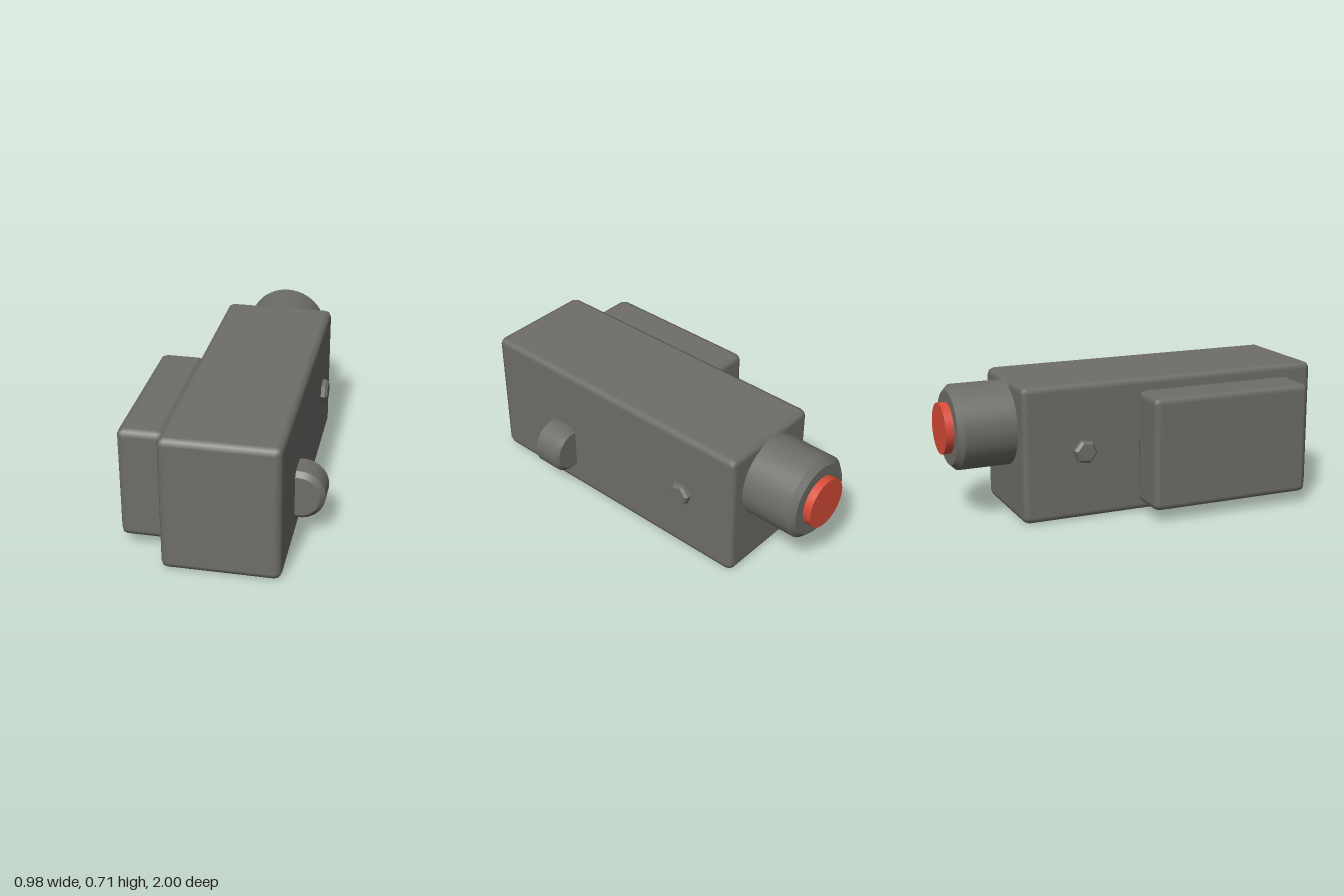
import * as THREE from 'three';
import { toCreasedNormals } from 'three/addons/utils/BufferGeometryUtils.js';
import { RoundedBoxGeometry } from 'three/addons/geometries/RoundedBoxGeometry.js';

// Cylinder along y with chamfered rims
function chamferedCylinder(radius, length, chamfer, sides) {
  const h = length / 2;
  const profile = [[0, -h], [radius - chamfer, -h], [radius, chamfer - h],
    [radius, h - chamfer], [radius - chamfer, h], [0, h]];
  return new THREE.LatheGeometry(profile.map(([x, y]) => new THREE.Vector2(x, y)), sides);
}

export function createModel() {
  const model = new THREE.Group();
  model.name = 'device';
  const grey = new THREE.MeshStandardMaterial({ color: 0x6e6d68 });
  grey.name = 'dark grey';
  const red = new THREE.MeshStandardMaterial({ color: 0xd94c38 });
  red.name = 'red';

  function add(name, geometry, material, x, y, z) {
    const mesh = new THREE.Mesh(geometry, material);
    mesh.name = name;
    mesh.position.set(x, y, z);
    model.add(mesh);
  }
  const axisX = 0.043;

  // Main housing and the pack on its right side
  add('body', new RoundedBoxGeometry(0.59, 0.71, 1.655, 1, 0.035), grey, axisX, 0.355, 0.1725);
  add('sidePack', new RoundedBoxGeometry(0.235, 0.59, 0.885, 1, 0.035), grey, -0.3725, 0.355, 0.4025);

  // Rear barrel with its red end disc
  const barrel = chamferedCylinder(0.22, 0.357, 0.03, 48).rotateX(Math.PI / 2);
  add('barrel', toCreasedNormals(barrel, 0.5), grey, axisX, 0.476, -0.7785);
  const disc = new THREE.CylinderGeometry(0.132, 0.132, 0.1, 48).rotateX(Math.PI / 2);
  add('endDisc', disc, red, axisX, 0.476, -0.95);

  // Thumb wheel half sunk into the left side
  const wheel = chamferedCylinder(0.133, 0.177, 0.025, 40).rotateX(Math.PI / 2);
  add('thumbWheel', toCreasedNormals(wheel, 0.5), grey, 0.355, 0.239, 0.524);

  // Hexagonal bolt passing through the housing
  const bolt = chamferedCylinder(0.063, 0.66, 0.014, 6).rotateY(-Math.PI / 18).rotateZ(Math.PI / 2);
  add('hexBolt', toCreasedNormals(bolt, 0.3), grey, axisX, 0.357, -0.328);

  return model;
}
